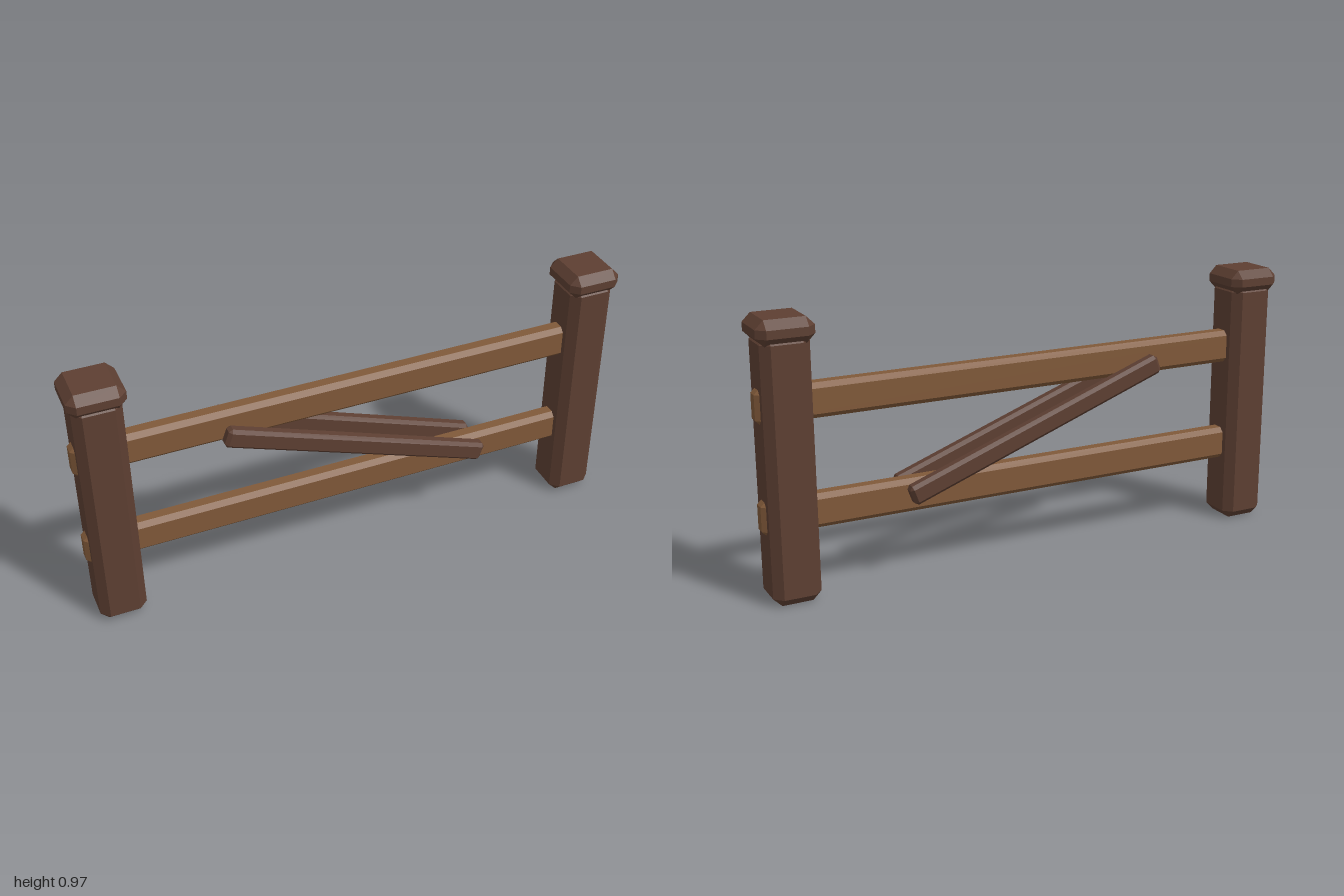
import * as THREE from 'three';
import { ConvexGeometry } from 'three/addons/geometries/ConvexGeometry.js';

const darkWood = new THREE.MeshStandardMaterial({ color: 0x5d3f32, flatShading: true });
const lightWood = new THREE.MeshStandardMaterial({ color: 0x805939, flatShading: true });

// Box with every edge chamfered by c, centred on its origin
function chamferBox(w, h, d, c) {
  const half = [w / 2, h / 2, d / 2];
  const points = [];
  for (const sx of [-1, 1]) for (const sy of [-1, 1]) for (const sz of [-1, 1]) {
    // each corner becomes three points, one on each adjoining face
    for (let face = 0; face < 3; face++) {
      const [x, y, z] = half.map((v, axis) => (axis === face ? v : v - c));
      points.push(new THREE.Vector3(sx * x, sy * y, sz * z));
    }
  }
  return new ConvexGeometry(points);
}

function addPart(parent, name, geometry, material, x, y, z) {
  const mesh = new THREE.Mesh(geometry, material);
  mesh.name = name;
  mesh.position.set(x, y, z);
  parent.add(mesh);
  return mesh;
}

export function createModel() {
  const fence = new THREE.Group();
  fence.name = 'fence';

  // Posts with overhanging caps
  const postGeometry = chamferBox(0.168, 0.922, 0.168, 0.03);
  const capGeometry = chamferBox(0.197, 0.087, 0.197, 0.029);
  for (const [side, s] of [['left', 1], ['right', -1]]) {
    addPart(fence, side + 'Post', postGeometry, darkWood, s * 0.9015, 0.461, 0);
    addPart(fence, side + 'PostCap', capGeometry, darkWood, s * 0.9015, 0.931, 0);
  }

  // Rails run through the posts and show at their outer faces
  const railGeometry = chamferBox(2, 0.12, 0.07, 0.017);
  addPart(fence, 'upperRail', railGeometry, lightWood, 0, 0.681, 0);
  addPart(fence, 'lowerRail', railGeometry, lightWood, 0, 0.301, 0);

  // Parallel diagonal braces on both faces
  const braceGeometry = chamferBox(1.04, 0.072, 0.049, 0.012);
  for (const [side, s] of [['front', 1], ['back', -1]]) {
    const brace = addPart(fence, side + 'Brace', braceGeometry, darkWood, 0, 0.49, s * 0.0645);
    brace.rotation.z = -THREE.MathUtils.degToRad(20);
  }

  return fence;
}
